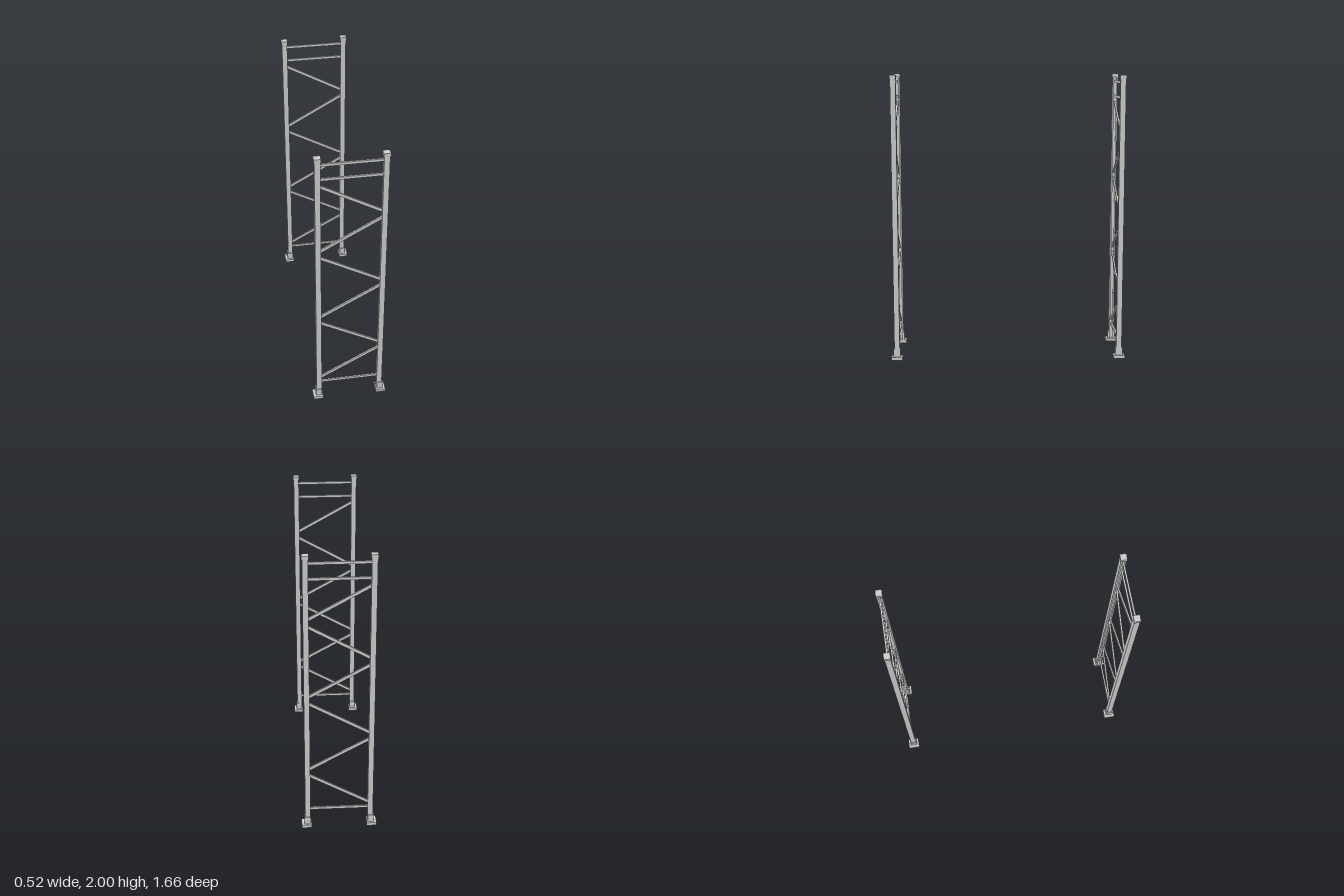
import * as THREE from 'three';

const steel = new THREE.MeshStandardMaterial({ color: 0xcccccc, flatShading: true });

function mesh(name, geometry, parent) {
  const m = new THREE.Mesh(geometry, steel);
  m.name = name;
  parent.add(m);
  return m;
}

function box(name, x0, x1, y0, y1, halfDepth, parent) {
  const m = mesh(name, new THREE.BoxGeometry(x1 - x0, y1 - y0, halfDepth * 2), parent);
  m.position.set((x0 + x1) / 2, (y0 + y1) / 2, 0);
  return m;
}

// Extrudes a plan outline upward from y0 to y1
function prism(points, y0, y1, hole) {
  const shape = new THREE.Shape(points.map(p => new THREE.Vector2(...p)));
  if (hole) shape.holes.push(new THREE.Path(hole.map(p => new THREE.Vector2(...p))));
  const g = new THREE.ExtrudeGeometry(shape, { depth: y1 - y0, bevelEnabled: false });
  return g.rotateX(-Math.PI / 2).translate(0, y0, 0);
}

const rect = (x0, x1, h) => [[x0, -h], [x1, -h], [x1, h], [x0, h]];

// Upright on the +x side, its channel opening toward the middle
function createUpright() {
  const g = new THREE.Group();
  g.name = 'upright';
  const half = [[0.233, 0.019], [0.196, 0.019], [0.196, 0.008], [0.2, 0.008], [0.2, 0.015], [0.229, 0.015]];
  const mirror = half.map(([x, z]) => [x, -z]).reverse();
  mesh('channelPost', prism([...half, ...mirror], 0.02, 1.98), g);
  box('topCap', 0.192, 0.237, 1.976, 2, 0.022, g);

  // Foot plate with a hollow underside
  box('footPlate', 0.189, 0.258, 0.012, 0.022, 0.04, g);
  mesh('footRim', prism(rect(0.189, 0.258, 0.04), 0, 0.012, rect(0.201, 0.246, 0.028)), g);

  // Bracket wrapped around the outside of the post
  mesh('footBracket', prism([
    [0.239, 0.025], [0.198, 0.025], [0.198, 0.019], [0.233, 0.019],
    [0.233, -0.019], [0.198, -0.019], [0.198, -0.025], [0.239, -0.025],
  ], 0.022, 0.075), g);
  return g;
}

function createFrame() {
  const g = new THREE.Group();
  g.name = 'ladderFrame';
  const left = createUpright();
  const right = createUpright();
  right.rotation.y = Math.PI;
  g.add(left, right);

  // Horizontal ties
  for (const y of [0.136, 1.84, 1.945]) box('horizontalTie', -0.205, 0.205, y - 0.009, y + 0.009, 0.006, g);

  // Zigzag diagonals: heights at the -x and +x ends
  for (let i = 0; i < 3; i++) {
    const drop = i * 0.555;
    for (const [ya, yb] of [[1.79, 1.565], [1.285, 1.515]]) {
      const dy = yb - ya;
      const brace = mesh('diagonalBrace', new THREE.BoxGeometry(Math.hypot(0.405, dy), 0.02, 0.012), g);
      brace.position.y = (ya + yb) / 2 - drop;
      brace.rotation.z = Math.atan2(dy, 0.405);
    }
  }
  return g;
}

export function createModel() {
  const model = new THREE.Group();
  model.name = 'rackUprightFrames';
  for (const z of [0.788, -0.788]) {
    const frame = createFrame();
    frame.position.z = z;
    model.add(frame);
  }
  return model;
}
